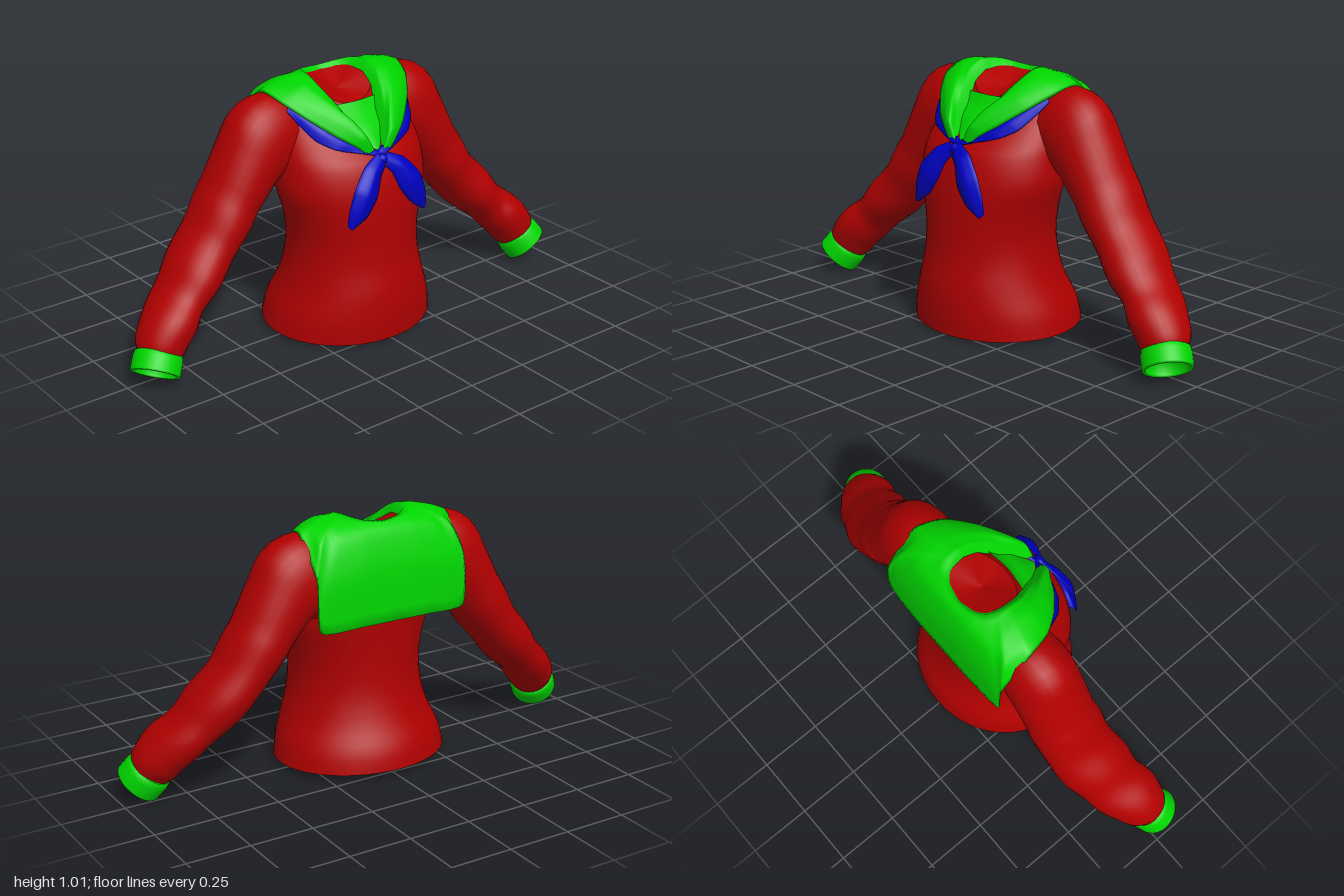
import * as THREE from 'three';

const V = (x, y, z) => new THREE.Vector3(x, y, z);
const mat = (name, color) => {
  const m = new THREE.MeshStandardMaterial({ color, side: THREE.DoubleSide });
  m.name = name;
  return m;
};

// Surface through rows of points, optionally closed around each row
function loft(rows, closed = false, flip = false) {
  const n = rows[0].length, index = [];
  for (let i = 0; i < rows.length - 1; i++) {
    for (let j = 0; j < (closed ? n : n - 1); j++) {
      const k = (j + 1) % n;
      const a = i * n + j, b = i * n + k, c = a + n, d = b + n;
      index.push(...(flip ? [a, b, c, b, d, c] : [a, c, b, b, c, d]));
    }
  }
  const g = new THREE.BufferGeometry().setFromPoints(rows.flat());
  g.setIndex(index);
  g.computeVertexNormals();
  return g;
}

// Smooth resampling of a few control points
const resample = (pts, n, tension = 0.4) =>
  new THREE.CatmullRomCurve3(pts, false, 'catmullrom', tension).getPoints((pts.length - 1) * n);

// Same for a list of number tuples
function smoothTuples(list, n) {
  const out = [];
  for (let i = 0; i < list.length - 1; i++) {
    const [p, a, b, q] = [list[Math.max(i - 1, 0)], list[i], list[i + 1], list[Math.min(i + 2, list.length - 1)]];
    for (let s = 0; s < n; s++) {
      const t = s / n, t2 = t * t, t3 = t2 * t;
      out.push(a.map((v, k) => v * (2 * t3 - 3 * t2 + 1) + b[k] * (3 * t2 - 2 * t3)
        + 0.5 * (b[k] - p[k]) * (t3 - 2 * t2 + t) + 0.5 * (q[k] - v) * (t3 - t2)));
    }
  }
  out.push(list[list.length - 1]);
  return out;
}

// Cloth sheet from stations of points, its long edges folded in toward the body
function cloth(stations, foldStart, foldEnd, flip = false) {
  const cols = stations[0].map((_, j) => resample(stations.map((s) => s[j]), 5, 0.3));
  const fold = (p, d) => p.clone().add(V(0, 0.72, -0.03).sub(p).setLength(d));
  const rows = cols[0].map((_, i) => {
    const r = resample(cols.map((c) => c[i]), 4);
    return [fold(r[0], foldStart), ...r, fold(r[r.length - 1], foldEnd)];
  });
  return loft(rows, false, flip);
}

const toStations = (data, s = 1) => data.map((row) => row.map(([x, y, z]) => V(x * s, y, z)));

export function createModel() {
  const model = new THREE.Group();
  model.name = 'sailorBlouse';
  const red = mat('red cloth', 0xb00000);
  const green = mat('green trim', 0x00d400);
  const blue = mat('blue scarf', 0x0000c4);
  const add = (name, geometry, material) => {
    const m = new THREE.Mesh(geometry, material);
    m.name = name;
    model.add(m);
    return m;
  };

  // Torso rings: front y, back y, half width, front z, back z, side lift
  const rings = smoothTuples([
    [0.012, 0.035, 0.345, 0.3, -0.305, 0],
    [0.1, 0.11, 0.328, 0.305, -0.29, 0],
    [0.2, 0.2, 0.29, 0.3, -0.245, 0],
    [0.3, 0.3, 0.267, 0.282, -0.215, 0],
    [0.4, 0.4, 0.262, 0.275, -0.205, 0],
    [0.5, 0.5, 0.28, 0.272, -0.205, 0],
    [0.6, 0.6, 0.31, 0.262, -0.21, 0],
    [0.7, 0.7, 0.305, 0.235, -0.215, 0],
    [0.755, 0.79, 0.295, 0.19, -0.22, 0],
    [0.82, 0.87, 0.27, 0.125, -0.215, 0.015],
    [0.865, 0.93, 0.225, 0.075, -0.2, 0.03],
    [0.895, 0.97, 0.14, 0.055, -0.17, 0.04],
  ], 3).map(([yf, yb, w, zf, zb, lift]) => Array.from({ length: 48 }, (_, j) => {
    const a = (j / 48) * Math.PI * 2, s = Math.sin(a), c = Math.cos(a);
    return V(w * c, (yf + yb) / 2 + s * (yf - yb) / 2 + lift * c * c, (zf + zb) / 2 + s * (zf - zb) / 2);
  }));
  const neck = rings[rings.length - 1];
  add('torso', loft(rings, true), red);
  add('hemBase', loft([rings[0].map(() => V(0, 0.024, 0)), rings[0]], true), red);
  add('neckFill', loft([neck, neck.map(() => V(0, 0.925, -0.06))], true), red);

  // Sleeve stations: centre x, y, z, radius in the front plane, radius in depth
  const sleeve = smoothTuples([
    [0.24, 0.8, -0.085, 0.155, 0.125],
    [0.325, 0.785, -0.085, 0.172, 0.135],
    [0.393, 0.72, -0.085, 0.138, 0.137],
    [0.48, 0.595, -0.085, 0.115, 0.137],
    [0.572, 0.465, -0.08, 0.105, 0.14],
    [0.682, 0.342, -0.053, 0.097, 0.135],
    [0.77, 0.255, -0.025, 0.086, 0.122],
    [0.843, 0.18, 0.012, 0.096, 0.114],
    [0.884, 0.115, 0.032, 0.082, 0.084],
  ], 5);
  const sleeveRows = (side) => sleeve.map(([x, y, z, r, rz], i) => {
    const p = sleeve[Math.max(i - 1, 0)], q = sleeve[Math.min(i + 1, sleeve.length - 1)];
    const t = V(q[0] - p[0], q[1] - p[1], q[2] - p[2]).normalize();
    const out = V(0, 0, 1).addScaledVector(t, -t.z).normalize();
    const up = out.clone().cross(t);
    return Array.from({ length: 28 }, (_, j) => {
      const a = (j / 28) * Math.PI * 2;
      // Soft wrinkles on the forearm
      const k = 1 + (i > 14 && i < 39 ? 0.03 * Math.sin(i * 0.85 + Math.sin(a)) : 0);
      const v = V(x, y, z).addScaledVector(up, Math.cos(a) * r * k).addScaledVector(out, -Math.sin(a) * rz * k);
      v.x *= side;
      return v;
    });
  });

  // Scarf band peeking out under the lapels
  const band = [
    [[0.25, 0.935, 0.0], [0.27, 0.925, 0.005], [0.28, 0.908, 0.01]],
    [[0.22, 0.91, 0.045], [0.245, 0.89, 0.055], [0.257, 0.862, 0.055]],
    [[0.16, 0.865, 0.11], [0.2, 0.84, 0.125], [0.225, 0.81, 0.115]],
    [[0.1, 0.815, 0.15], [0.14, 0.8, 0.17], [0.17, 0.778, 0.165]],
    [[0.05, 0.775, 0.19], [0.065, 0.765, 0.195], [0.08, 0.754, 0.2]],
    [[0.0, 0.75, 0.2], [0.0, 0.742, 0.21], [0.0, 0.73, 0.22]],
  ];
  // Leaf-shaped tail of the bow
  const tail = [
    [[0, 0.7, 0.24], [0.01, 0.725, 0.237], [0.02, 0.748, 0.222]],
    [[0.03, 0.665, 0.252], [0.06, 0.695, 0.262], [0.09, 0.715, 0.238]],
    [[0.06, 0.595, 0.268], [0.11, 0.625, 0.285], [0.152, 0.645, 0.257]],
    [[0.11, 0.53, 0.27], [0.145, 0.55, 0.28], [0.18, 0.57, 0.258]],
    [[0.165, 0.492, 0.258], [0.175, 0.495, 0.264], [0.188, 0.51, 0.256]],
  ];

  // Cuff turned outward, with an open hollow end
  const cuffProfile = [[0.081, -0.005], [0.089, 0], [0.093, 0.02], [0.093, 0.07], [0.091, 0.075],
    [0.082, 0.075], [0.079, 0.07], [0.075, 0.015], [0, 0.01]].map(([r, y]) => new THREE.Vector2(r, y));

  for (const [side, label] of [[1, 'left'], [-1, 'right']]) {
    const flip = side < 0;
    add(label + 'Sleeve', loft(sleeveRows(side), true, flip), red);
    add(label + 'ScarfBand', cloth(toStations(band, side), 0.02, 0.03, flip), blue);
    add(label + 'BowTail', cloth(toStations(tail, side), 0.02, 0.008, flip), blue);
    const cuff = add(label + 'Cuff', new THREE.LatheGeometry(cuffProfile, 32), green);
    const axis = V(0.5 * side, -0.77, 0.4).normalize();
    cuff.quaternion.setFromUnitVectors(V(0, 1, 0), axis);
    cuff.position.set(0.919 * side, 0.06, 0.062).addScaledVector(axis, -0.075);
  }
  const knot = add('bowKnot', new THREE.SphereGeometry(0.025, 20, 14), blue);
  knot.position.set(0, 0.722, 0.22);
  knot.scale.set(1, 0.85, 0.8);

  // Square-backed collar, from back centre over the shoulder to the lapel tip
  const collar = [
    [[0, 0.985, -0.175], [0, 0.948, -0.215], [0, 0.82, -0.25], [0, 0.62, -0.262]],
    [[0.075, 0.993, -0.16], [0.11, 0.95, -0.212], [0.13, 0.82, -0.25], [0.15, 0.62, -0.262]],
    [[0.115, 1.004, -0.13], [0.21, 0.948, -0.203], [0.28, 0.8, -0.245], [0.315, 0.625, -0.252]],
    [[0.132, 1.01, -0.09], [0.22, 0.985, -0.155], [0.285, 0.93, -0.205], [0.322, 0.82, -0.24]],
    [[0.137, 1.007, -0.05], [0.2, 1.004, -0.08], [0.27, 0.988, -0.1], [0.322, 0.966, -0.11]],
    [[0.132, 0.978, 0.01], [0.19, 0.988, 0.0], [0.25, 0.967, 0.0], [0.292, 0.938, 0.0]],
    [[0.105, 0.92, 0.08], [0.15, 0.942, 0.08], [0.2, 0.92, 0.085], [0.232, 0.882, 0.085]],
    [[0.068, 0.838, 0.15], [0.09, 0.876, 0.155], [0.125, 0.865, 0.155], [0.155, 0.82, 0.155]],
    [[0.038, 0.785, 0.185], [0.052, 0.812, 0.2], [0.075, 0.81, 0.2], [0.095, 0.78, 0.19]],
    [[0.015, 0.742, 0.203], [0.025, 0.755, 0.207], [0.038, 0.755, 0.207], [0.055, 0.745, 0.203]],
  ];
  add('collar', cloth([...toStations(collar.slice(1), -1).reverse(), ...toStations(collar)], 0.045, 0.025), green);

  // Chest panel between the lapels
  const panel = [[0.905, 0.105, 0.062], [0.865, 0.1, 0.09], [0.82, 0.08, 0.14], [0.74, 0.03, 0.203]];
  add('chestPanel', cloth(panel.map(([y, w, z]) => [V(-w, y, z - 0.012), V(0, y, z), V(w, y, z - 0.012)]), 0.01, 0.01), green);

  return model;
}
